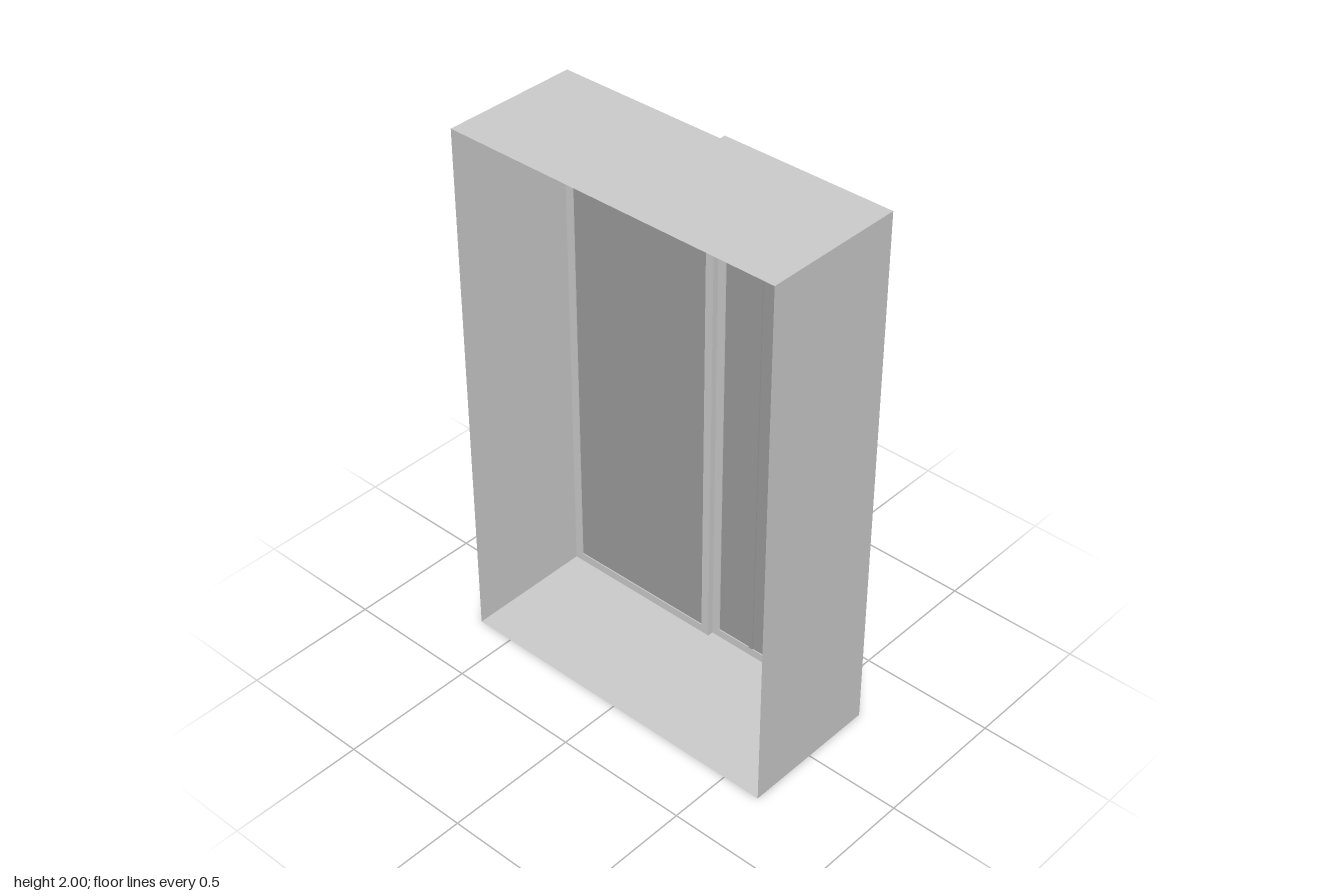
import * as THREE from 'three';

const W = 0.645, H = 2, FRONT = 0.265, BACK = -0.265, T = 0.022;

export function createModel() {
  const model = new THREE.Group();
  const bodyMat = new THREE.MeshStandardMaterial({ color: 0xcccccc, side: THREE.DoubleSide });
  const frameMat = new THREE.MeshStandardMaterial({ color: 0xcccccc });
  const panelMat = new THREE.MeshStandardMaterial({ color: 0x9c9c9c });

  const add = (parent, name, geometry, material, x, y, z) => {
    const mesh = new THREE.Mesh(geometry, material);
    mesh.name = name;
    mesh.position.set(x, y, z);
    parent.add(mesh);
    return mesh;
  };

  // Thin cabinet shell, open at the front
  const shellBack = BACK + 2 * T;
  const depth = FRONT - shellBack, midZ = (FRONT + shellBack) / 2;
  for (const s of [-1, 1]) {
    const side = add(model, s > 0 ? 'leftSide' : 'rightSide',
      new THREE.PlaneGeometry(depth, H), bodyMat, s * W, H / 2, midZ);
    side.rotation.y = s * Math.PI / 2;
    const cap = add(model, s > 0 ? 'top' : 'bottom',
      new THREE.PlaneGeometry(2 * W, depth), bodyMat, 0, s > 0 ? H : 0, midZ);
    cap.rotation.x = -s * Math.PI / 2;
  }

  // Edge strips that carry the shell on to the outer door track
  const edge = add(model, 'leftSideEdge', new THREE.PlaneGeometry(T, H), bodyMat, W, H / 2, shellBack - T / 2);
  edge.rotation.y = Math.PI / 2;
  for (const y of [0, H]) {
    const strip = add(model, y ? 'topEdge' : 'bottomEdge',
      new THREE.PlaneGeometry(W, T), bodyMat, W / 2, y, shellBack - T / 2);
    strip.rotation.x = y ? -Math.PI / 2 : Math.PI / 2;
  }

  // Two sliding doors on neighbouring tracks
  for (const s of [-1, 1]) {
    const door = new THREE.Group();
    door.name = s > 0 ? 'leftDoor' : 'rightDoor';
    door.position.z = s > 0 ? BACK : BACK + T;
    model.add(door);

    const x0 = s > 0 ? 0 : -W, b = 0.032;
    const outline = new THREE.Shape([
      new THREE.Vector2(x0, 0), new THREE.Vector2(x0 + W, 0),
      new THREE.Vector2(x0 + W, H), new THREE.Vector2(x0, H)]);
    outline.holes.push(new THREE.Path([
      new THREE.Vector2(x0 + b, b), new THREE.Vector2(x0 + b, H - b),
      new THREE.Vector2(x0 + W - b, H - b), new THREE.Vector2(x0 + W - b, b)]));
    add(door, 'doorFrame', new THREE.ExtrudeGeometry(outline, { depth: T, bevelEnabled: false }),
      frameMat, 0, 0, 0);

    // Recessed panel with two upright bars
    const w = W - 2 * b, h = H - 2 * b;
    add(door, 'doorPanel', new THREE.BoxGeometry(w, h, 0.004), panelMat, s * W / 2, H / 2, 0.016);
    const barDepth = s > 0 ? 0.017 : 0.011;
    for (const x of [0.176, 0.252]) {
      add(door, 'doorBar', new THREE.BoxGeometry(0.018, h, barDepth), panelMat,
        s * x, H / 2, 0.005 + barDepth / 2);
    }
  }
  return model;
}
